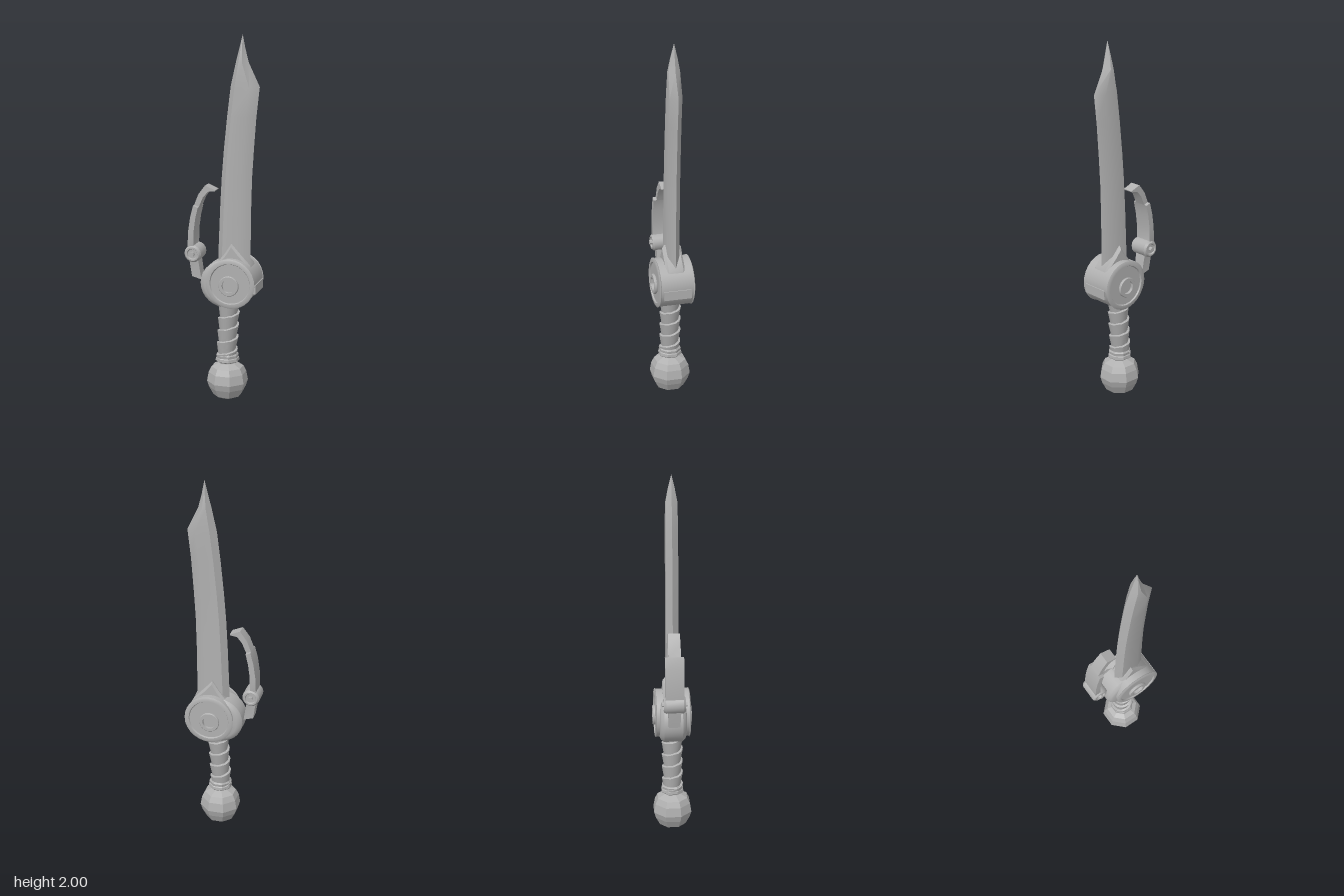
import * as THREE from 'three';
import { toCreasedNormals } from 'three/addons/utils/BufferGeometryUtils.js';

const metal = new THREE.MeshStandardMaterial({ color: 0xb0b0b0 });
metal.name = 'grey metal';

function part(name, geometry, x = 0, y = 0, z = 0, crease = 0.6) {
  const mesh = new THREE.Mesh(toCreasedNormals(geometry, crease), metal);
  mesh.name = name;
  mesh.position.set(x, y, z);
  return mesh;
}

// Joins equal-sized rings (counterclockwise seen from above), listed bottom to top, and caps the ends
function loft(rings) {
  const n = rings[0].length, index = [], last = (rings.length - 1) * n;
  for (let i = 0; i < rings.length - 1; i++) {
    for (let j = 0; j < n; j++) {
      const a = i * n + j, b = i * n + (j + 1) % n;
      index.push(a, b, b + n, a, b + n, a + n);
    }
  }
  for (let j = 1; j < n - 1; j++) {
    index.push(0, j + 1, j, last, last + j, last + j + 1);
  }
  const g = new THREE.BufferGeometry();
  g.setAttribute('position', new THREE.Float32BufferAttribute(rings.flat(2), 3));
  g.setIndex(index);
  return g;
}

// Turned profile of [radius, height] points
function lathe(points, sides, start = 0) {
  return new THREE.LatheGeometry(points.map(p => new THREE.Vector2(...p)), sides, start);
}

// Turned part lying along z, given the front half of its profile from the centre outwards
function wheel(half, sides) {
  const back = half.map(([r, z]) => [r, -z]);
  return lathe([...back, ...half.slice().reverse()], sides).rotateX(Math.PI / 2);
}

export function createModel() {
  const sword = new THREE.Group();
  sword.name = 'sword';

  // Curved blade: height, back edge, cutting edge, half thickness, bevel widths
  const blade = [
    [0.72, -0.03, 0.15, 0.033, 0.03, 0.05],
    [0.83, -0.03, 0.15, 0.033, 0.03, 0.05],
    [1.08, -0.02, 0.152, 0.033, 0.03, 0.05],
    [1.25, -0.011, 0.156, 0.033, 0.03, 0.05],
    [1.40, 0.001, 0.165, 0.033, 0.03, 0.05],
    [1.58, 0.019, 0.178, 0.033, 0.03, 0.05],
    [1.735, 0.038, 0.195, 0.033, 0.03, 0.05],
    [1.86, 0.066, 0.135, 0.031, 0.022, 0.028],
    [1.93, 0.084, 0.117, 0.018, 0.012, 0.014],
    [2.0, 0.101, 0.103, 0.001, 0.0005, 0.0005],
  ].map(([y, l, r, t, bl, br]) => [
    [l, y, 0], [l + bl, y, t], [r - br, y, t],
    [r, y, 0], [r - br, y, -t], [l + bl, y, -t],
  ]);
  sword.add(part('blade', loft(blade), 0, 0, 0, 0.7));

  // Round hub with rims and recessed faces
  const hubX = 0.062, hubY = 0.69;
  sword.add(part('hub', wheel([
    [0, 0.09], [0.108, 0.09], [0.112, 0.097], [0.126, 0.097], [0.136, 0.092], [0.132, 0.088],
  ], 28), hubX, hubY));
  // Plain raised rings on both faces
  for (const s of [1, -1]) {
    const boss = wheel([[0.036, 0], [0.036, 0.008], [0.052, 0.008], [0.055, 0.004]], 24);
    sword.add(part('faceRing', boss, hubX - 0.005, hubY - 0.01, s * 0.098));
  }

  // Bevelled guard disc showing to one side of the hub
  sword.add(part('sideGuard', wheel([
    [0, 0.072], [0.1, 0.072], [0.115, 0.066], [0.128, 0.05],
  ], 28), 0.013, 0.675));

  // Pointed collar where the blade enters the hub
  const chevron = new THREE.Shape();
  [[-0.04, 0.76], [-0.012, 0.805], [0.02, 0.845], [0.055, 0.9], [0.1, 0.85], [0.158, 0.79], [0.17, 0.74]]
    .forEach(([x, y], i) => (i ? chevron.lineTo(x, y) : chevron.moveTo(x, y)));
  chevron.closePath();
  const collar = new THREE.ExtrudeGeometry(chevron, {
    depth: 0.08, bevelEnabled: true, bevelThickness: 0.012, bevelSize: 0.012, bevelOffset: -0.012, bevelSegments: 1,
  });
  sword.add(part('bladeCollar', collar, 0, 0, -0.04));

  // Latch block on the hub rim
  sword.add(part('latch', new THREE.BoxGeometry(0.06, 0.05, 0.15), 0.17, 0.665));

  // Grip with a stepped spiral wrap, leaning slightly
  const grip = new THREE.CylinderGeometry(1, 1, 0.34, 24, 80, true);
  const pos = grip.attributes.position, uv = grip.attributes.uv;
  for (let i = 0; i < pos.count; i++) {
    const y = pos.getY(i), turn = y / 0.07 - uv.getX(i);
    const r = 0.047 + 0.012 * (turn - Math.floor(turn + 1e-6));
    pos.setXYZ(i, pos.getX(i) * r + 0.05 * y, y, pos.getZ(i) * r);
  }
  sword.add(part('grip', grip, 0.026, 0.42));

  // Octagonal grip collar and neck
  sword.add(part('gripCollar', lathe([
    [0, 0.226], [0.058, 0.226], [0.066, 0.233], [0.064, 0.248], [0.06, 0.252], [0.062, 0.266], [0.056, 0.274], [0, 0.274],
  ], 8, Math.PI / 8), 0.022, 0, 0, 0.3));
  sword.add(part('neck', new THREE.CylinderGeometry(0.036, 0.036, 0.04, 8), 0.022, 0.218));

  // Faceted pommel
  sword.add(part('pommel', lathe([
    [0, 0], [0.078, 0.035], [0.102, 0.08], [0.113, 0.115], [0.104, 0.165], [0.088, 0.197], [0.045, 0.217], [0, 0.217],
  ], 8, Math.PI / 8), 0.022, 0, 0, 0.1));

  // Curved arm beside the blade: outer x and y, inner x and y, half width
  const arm = [
    [-0.17, 0.70, -0.117, 0.685, 0.03],
    [-0.185, 0.80, -0.135, 0.80, 0.034],
    [-0.188, 0.87, -0.155, 0.87, 0.05],
    [-0.185, 0.95, -0.154, 0.95, 0.05],
    [-0.173, 1.03, -0.144, 1.025, 0.05],
    [-0.156, 1.095, -0.13, 1.085, 0.05],
    [-0.155, 1.097, -0.129, 1.087, 0.033],
    [-0.132, 1.155, -0.106, 1.14, 0.033],
    [-0.095, 1.205, -0.078, 1.172, 0.031],
    [-0.038, 1.182, -0.04, 1.177, 0.03],
  ].map(([ox, oy, ix, iy, w]) => [[ox, oy, w], [ix, iy, w], [ix, iy, -w], [ox, oy, -w]]);
  sword.add(part('sideArm', loft(arm)));

  // Barrel pivot on the arm with a pin through it
  sword.add(part('pivot', wheel([
    [0, 0.05], [0.026, 0.05], [0.03, 0.058], [0.038, 0.058], [0.047, 0.047],
  ], 16), -0.16, 0.83));
  const pin = new THREE.CylinderGeometry(0.013, 0.013, 0.136, 8).rotateX(Math.PI / 2);
  sword.add(part('pivotPin', pin, -0.16, 0.83));

  return sword;
}
